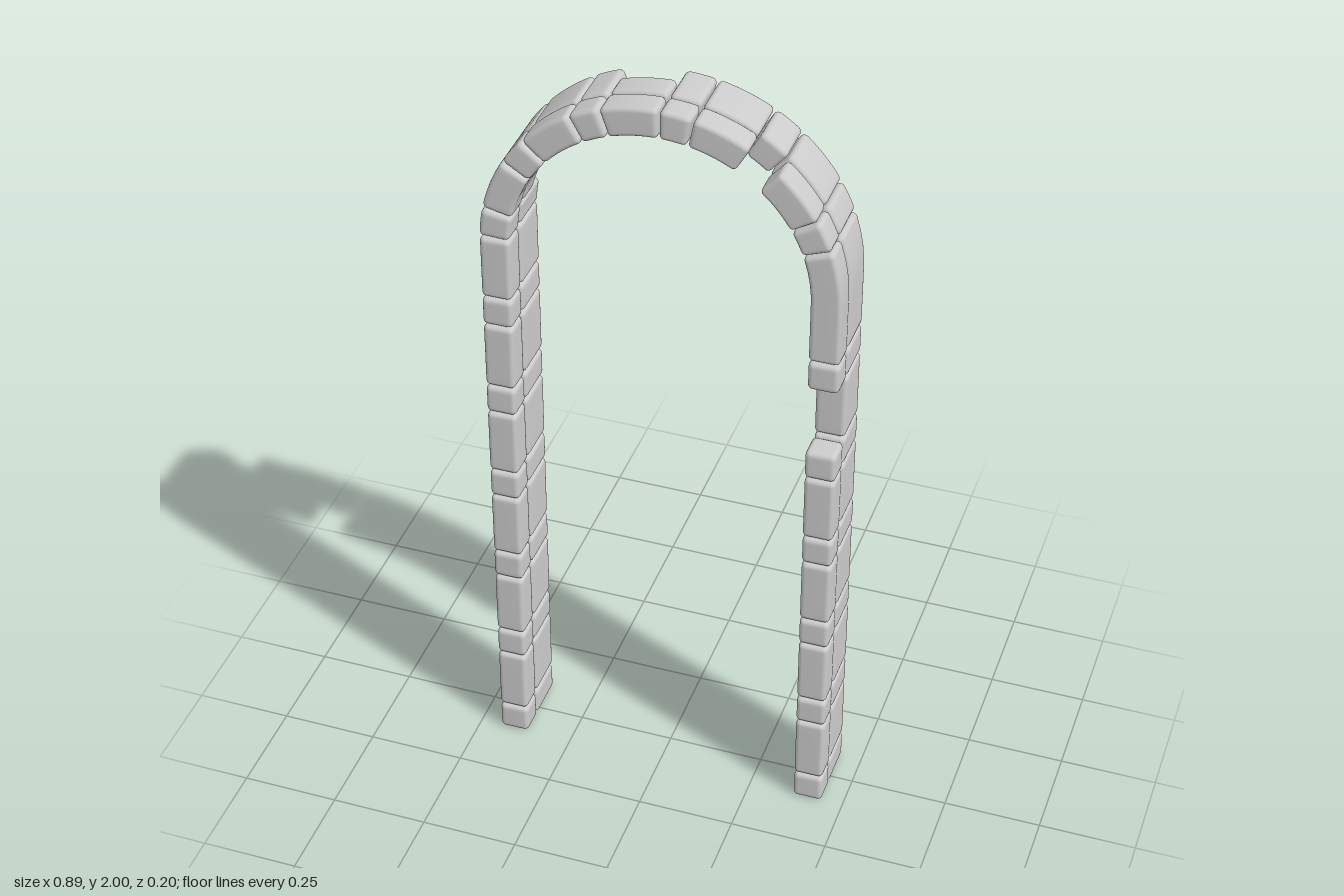
import * as THREE from 'three';
import { mergeVertices } from 'three/addons/utils/BufferGeometryUtils.js';

const R = 0.406;            // arch radius along the middle of the stones
const H = 1.556;            // height where the arch springs
const THICK = 0.076;        // radial thickness of a stone
const ROUND = 0.012;        // edge rounding
const GAP = 0.004;          // joint between stones
const ARC = Math.PI * R;
const TOTAL = 2 * H + ARC;
const CORNER = 2;           // segments in each rounded edge

// Point at distance s up the right post, over the arch and down the left post, offset inward by o
function archPoint(s, o) {
  const r = R - o;
  if (s < H) return [-r, s];
  if (s > H + ARC) return [r, TOTAL - s];
  const t = (s - H) / R;
  return [-r * Math.cos(t), H + r * Math.sin(t)];
}

// Spread a grid coordinate (-0.5..0.5): a few steps in each rounded edge, the rest evenly between
function spread(u, segments, size) {
  const i = Math.round((u + 0.5) * segments);
  const inner = size / 2 - ROUND;
  if (i <= CORNER) return -inner - ROUND * Math.tan((1 - i / CORNER) * Math.PI / 4);
  if (i >= segments - CORNER) return inner + ROUND * Math.tan((1 - (segments - i) / CORNER) * Math.PI / 4);
  return -inner + (2 * inner * (i - CORNER)) / (segments - 2 * CORNER);
}

// Rounded block following the arch from s0 to s1, and from z0 to z1 in depth
function stoneGeometry(s0, s1, z0, z1) {
  const size = [THICK, s1 - s0, z1 - z0];
  const segs = [5, 12, 5];
  let geo = new THREE.BoxGeometry(1, 1, 1, ...segs);
  geo.deleteAttribute('uv');
  geo.deleteAttribute('normal');
  geo = mergeVertices(geo);
  const pos = geo.attributes.position;
  const p = new THREE.Vector3(), core = new THREE.Vector3();
  for (let i = 0; i < pos.count; i++) {
    p.fromBufferAttribute(pos, i);
    const c = p.toArray().map((u, k) => spread(u, segs[k], size[k]));
    p.fromArray(c);
    core.fromArray(c.map((v, k) => {
      const h = size[k] / 2 - ROUND;
      return Math.max(-h, Math.min(h, v));
    }));
    p.sub(core).setLength(ROUND).add(core);
    const [x, y] = archPoint((s0 + s1) / 2 + p.y, p.x);
    pos.setXYZ(i, x, y, (z0 + z1) / 2 + p.z);
  }
  geo.computeVertexNormals();
  return geo;
}

// Short and long stones in alternation along the whole arch
function stoneCourse() {
  const shorts = [];
  const PITCH = 0.263, SHORT = 0.077;
  for (let k = 0; k < 6; k++) shorts.push([PITCH * k, PITCH * k + SHORT]);
  for (let k = 0; k < 6; k++) {
    const s = H + R * THREE.MathUtils.degToRad(1.8 + 29.6 * k);
    shorts.push([s, s + 0.071]);
  }
  for (let k = 5; k >= 0; k--) shorts.push([TOTAL - PITCH * k - SHORT, TOTAL - PITCH * k]);
  const stones = [];
  shorts.forEach(([a, b], i) => {
    stones.push({ kind: 'short', i, a, b });
    if (i < shorts.length - 1) stones.push({ kind: 'long', i, a: b + GAP, b: shorts[i + 1][0] - GAP });
  });
  return stones;
}

export function createModel() {
  const model = new THREE.Group();
  model.name = 'stoneArch';
  const material = new THREE.MeshStandardMaterial({ color: 0xcccccc });
  const rows = [
    // thin front row with two stones fallen out
    { name: 'front', z0: 0.026, z1: 0.098, missing: ['short10', 'long12'], narrow: [] },
    // deep back row with two stones broken to half depth
    { name: 'back', z0: -0.098, z1: 0.022, missing: [], narrow: ['long6', 'long8'] },
  ];
  for (const row of rows) {
    const group = new THREE.Group();
    group.name = row.name + 'Row';
    for (const { kind, i, a, b } of stoneCourse()) {
      const id = kind + i;
      if (row.missing.includes(id)) continue;
      const z0 = row.narrow.includes(id) ? -0.05 : row.z0;
      const stone = new THREE.Mesh(stoneGeometry(a, b, z0, row.z1), material);
      stone.name = `${row.name} ${kind} stone ${i + 1}`;
      group.add(stone);
    }
    model.add(group);
  }
  return model;
}
